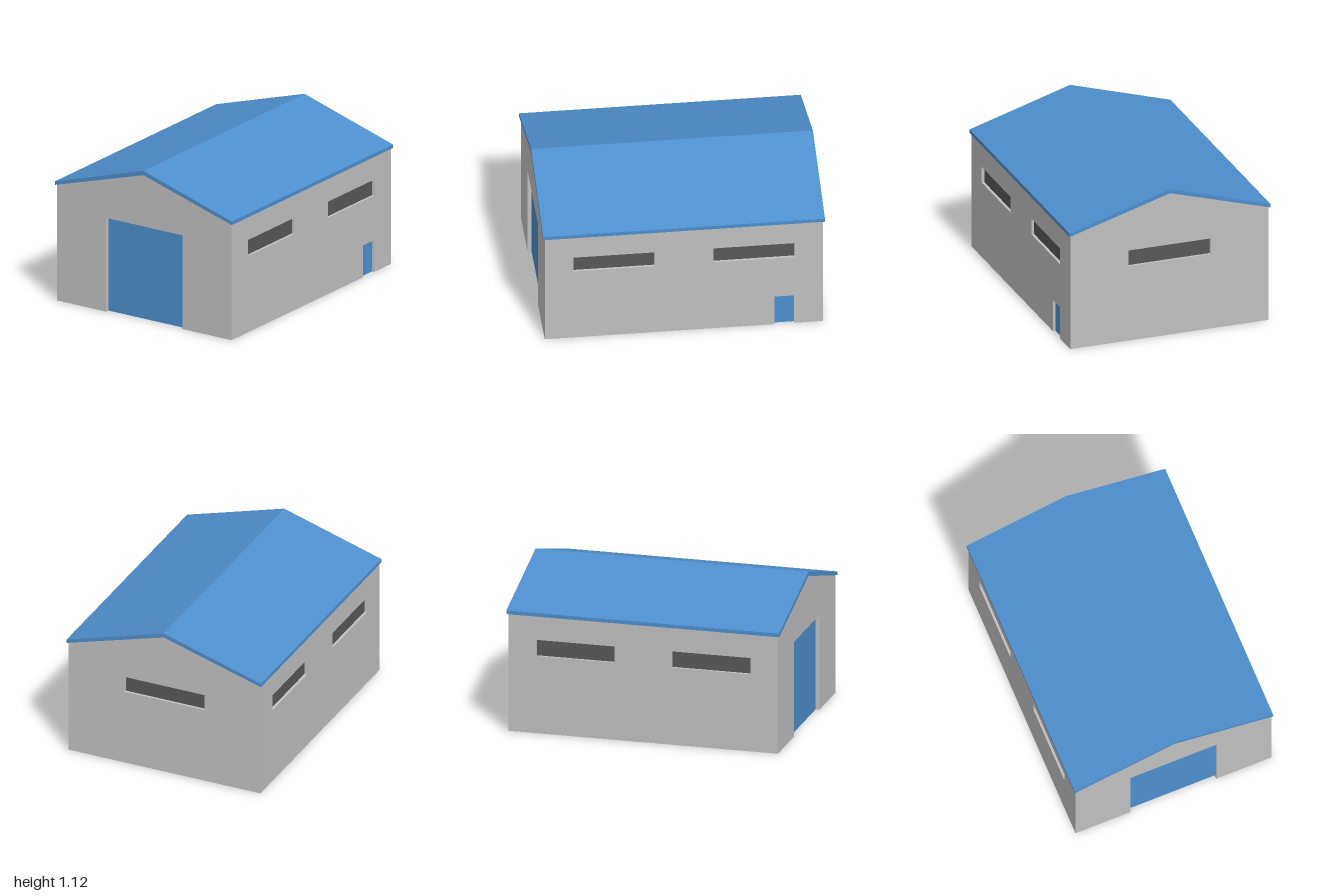
import * as THREE from 'three';

const material = (name, color) =>
  new THREE.MeshStandardMaterial({ name, color, side: THREE.DoubleSide });

const HALF_W = 0.747, HALF_L = 0.988; // wall planes
const EAVE = 0.868, RIDGE = 1.088;    // wall heights below the roof

export function createModel() {
  const grey = material('wall grey', 0xc0c0c0);
  const blue = material('sheet blue', 0x4d8fcd);
  const dark = material('window dark', 0x585858);

  const add = (parent, name, geometry, mat) => {
    const mesh = new THREE.Mesh(geometry, mat);
    mesh.name = name;
    parent.add(mesh);
    return mesh;
  };

  // Recessed opening: a panel set back behind the wall with grey reveals round it
  function addOpening(wall, { name, x0, x1, y0, y1, depth, mat }) {
    const w = x1 - x0, h = y1 - y0, cx = (x0 + x1) / 2, cy = (y0 + y1) / 2;
    const group = new THREE.Group();
    group.name = name;
    group.position.set(cx, cy, 0);
    wall.add(group);
    add(group, name + 'Panel', new THREE.PlaneGeometry(w, h), mat).position.z = -depth;
    for (const s of [-1, 1]) {
      const side = add(group, name + 'SideReveal', new THREE.PlaneGeometry(depth, h), grey);
      side.rotation.y = -s * Math.PI / 2;
      side.position.set(s * w / 2, 0, -depth / 2);
      if (s < 0 && y0 === 0) continue; // doors have no sill
      const edge = add(group, name + 'EdgeReveal', new THREE.PlaneGeometry(w, depth), grey);
      edge.rotation.x = s * Math.PI / 2;
      edge.position.set(0, s * h / 2, -depth / 2);
    }
  }

  // Thin wall facing local +z; doors notch the base, windows are holes
  function makeWall(name, half, gabled, openings) {
    const wall = new THREE.Group();
    wall.name = name;
    const shape = new THREE.Shape().moveTo(-half, 0);
    for (const { x0, x1, y0, y1 } of openings) {
      if (y0 === 0) {
        shape.lineTo(x0, 0).lineTo(x0, y1).lineTo(x1, y1).lineTo(x1, 0);
      } else {
        shape.holes.push(new THREE.Path().moveTo(x0, y0).lineTo(x0, y1)
          .lineTo(x1, y1).lineTo(x1, y0).closePath());
      }
    }
    shape.lineTo(half, 0).lineTo(half, EAVE);
    if (gabled) shape.lineTo(0, RIDGE);
    shape.lineTo(-half, EAVE).closePath();
    add(wall, name + 'Sheet', new THREE.ShapeGeometry(shape), grey);
    openings.forEach(o => addOpening(wall, o));
    return wall;
  }

  const win = (x0, x1) =>
    ({ name: 'window', x0, x1, y0: 0.57, y1: 0.69, depth: 0.02, mat: dark });
  const sideWindows = [win(-0.785, -0.21), win(0.21, 0.785)];
  const mainDoor = { name: 'mainDoor', x0: -0.327, x1: 0.327, y0: 0, y1: 0.7, depth: 0.028, mat: blue };
  const sideDoor = { name: 'sideDoor', x0: 0.642, x1: 0.782, y0: 0, y1: 0.238, depth: 0.02, mat: blue };

  const model = new THREE.Group();
  model.name = 'warehouse';

  // Four walls, turned to face outward
  const front = makeWall('frontWall', HALF_W, true, [mainDoor]);
  front.position.z = HALF_L;
  const back = makeWall('backWall', HALF_W, true, [win(-0.31, 0.31)]);
  back.rotation.y = Math.PI;
  back.position.z = -HALF_L;
  const left = makeWall('leftWall', HALF_L, false, [...sideWindows, sideDoor]);
  left.rotation.y = Math.PI / 2;
  left.position.x = HALF_W;
  const right = makeWall('rightWall', HALF_L, false, sideWindows);
  right.rotation.y = -Math.PI / 2;
  right.position.x = -HALF_W;
  model.add(front, back, left, right);

  // Pitched roof slab with a slight overhang
  const profile = new THREE.Shape([
    [-0.757, 0.865], [0, RIDGE], [0.757, 0.865], [0.757, 0.892], [0, 1.12], [-0.757, 0.892],
  ].map(([x, y]) => new THREE.Vector2(x, y)));
  const roof = new THREE.ExtrudeGeometry(profile, { depth: 2, bevelEnabled: false });
  roof.translate(0, 0, -1);
  add(model, 'roof', roof, blue);

  return model;
}
